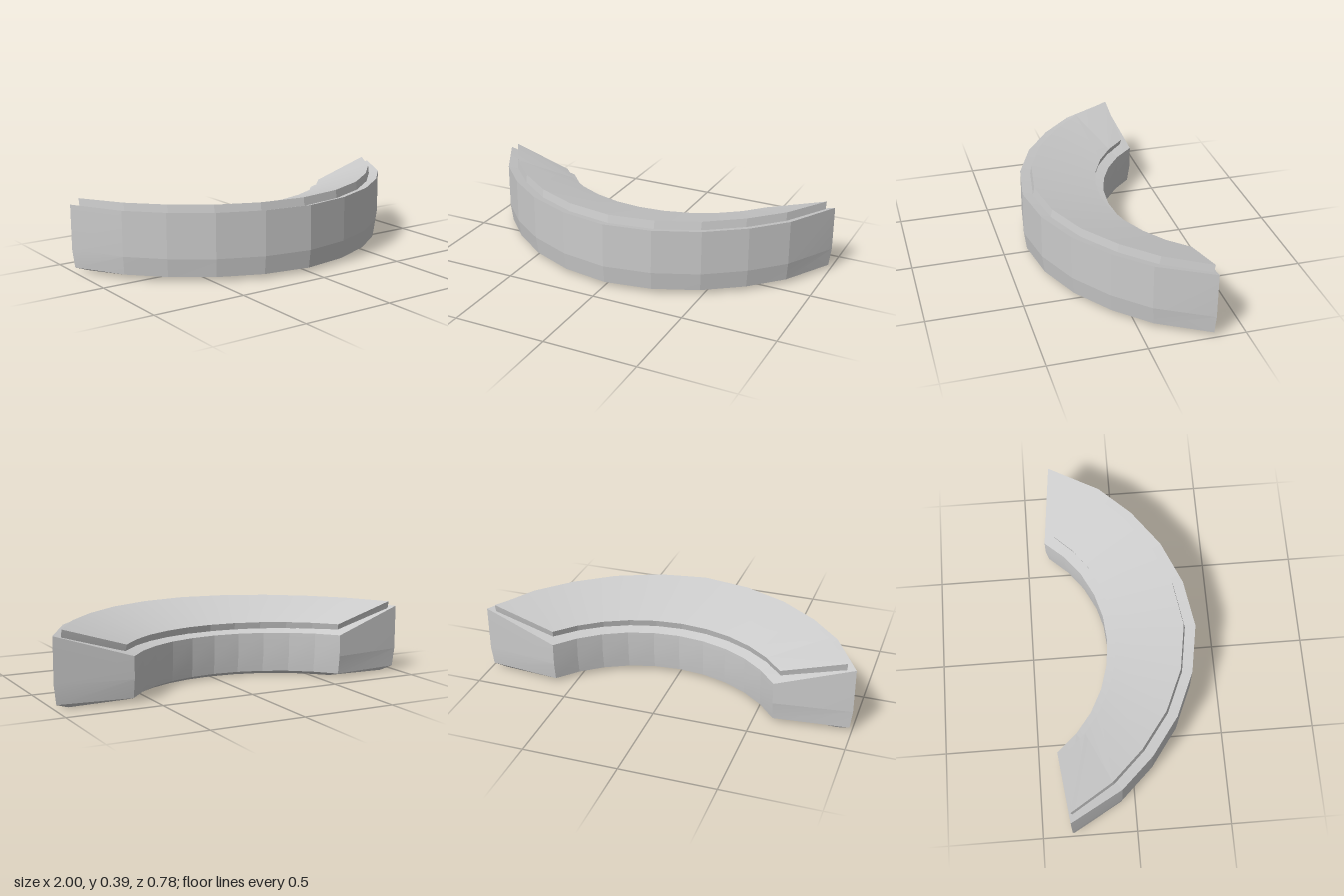
import * as THREE from 'three';
import { toCreasedNormals } from 'three/addons/utils/BufferGeometryUtils.js';

// Half outlines (x, z) of the outer curve, from the middle to the end
const OUTER = [[0, 0.387], [0.255, 0.345], [0.49, 0.245], [0.69, 0.1], [0.85, -0.068], [1, -0.34]];
const INSET = [[0, 0.332], [0.245, 0.293], [0.465, 0.198], [0.655, 0.058], [0.813, -0.105], [0.953, -0.328]];
const N = OUTER.length - 1;
const ARC_Z = -0.828; // centre of the inner arc

// One closed crescent: inset amount of the outer curve, inner arc radius and half angle, heights, z shift
function crescent(t, radius, degrees, yOuter, yInner, dz = 0) {
  const outer = [], inner = [];
  for (let i = -N; i <= N; i++) {
    const s = Math.sign(i), k = Math.abs(i);
    const x = THREE.MathUtils.lerp(OUTER[k][0], INSET[k][0], t);
    const z = THREE.MathUtils.lerp(OUTER[k][1], INSET[k][1], t);
    outer.push([s * x, yOuter, z + dz]);
    const a = THREE.MathUtils.degToRad(degrees) * i / N;
    inner.push([radius * Math.sin(a), yInner, ARC_Z + radius * Math.cos(a)]);
  }
  return outer.concat(inner.reverse());
}

// Skin stacked crescents, closing the bottom and the top with strips across the curve
function loft(rings) {
  const pos = [];
  const quad = (a, b, c, d) => pos.push(...a, ...b, ...c, ...a, ...c, ...d);
  const count = rings[0].length;
  for (let r = 0; r < rings.length - 1; r++) {
    const lo = rings[r], up = rings[r + 1];
    for (let k = 0; k < count; k++) {
      const n = (k + 1) % count;
      quad(lo[k], lo[n], up[n], up[k]);
    }
  }
  const bottom = rings[0], top = rings[rings.length - 1];
  for (let i = 0; i < 2 * N; i++) {
    const j = count - 1 - i;
    quad(top[i], top[i + 1], top[j - 1], top[j]);
    quad(bottom[j], bottom[j - 1], bottom[i + 1], bottom[i]);
  }
  const geo = new THREE.BufferGeometry();
  geo.setAttribute('position', new THREE.Float32BufferAttribute(pos, 3));
  return toCreasedNormals(geo, 0.12);
}

export function createModel() {
  const group = new THREE.Group();
  const material = new THREE.MeshStandardMaterial({ color: 0xcccccc });
  const add = (name, rings) => {
    const mesh = new THREE.Mesh(loft(rings), material);
    mesh.name = name;
    group.add(mesh);
  };

  // Curved body with a bevelled underside and a top sloping down to the inner edge
  add('curvedBody', [
    crescent(1.65, 0.795, 48.5, 0, 0),
    crescent(0.25, 0.752, 53.1, 0.022, 0.022),
    crescent(0, 0.743, 53.9, 0.12, 0.12),
    crescent(0, 0.743, 53.9, 0.36, 0.235),
  ]);

  // Raised panel standing square to the sloping top
  add('raisedPanel', [
    crescent(1, 0.798, 51.4, 0.34, 0.245),
    crescent(1, 0.788, 51.9, 0.388, 0.286, -0.009),
  ]);
  return group;
}
